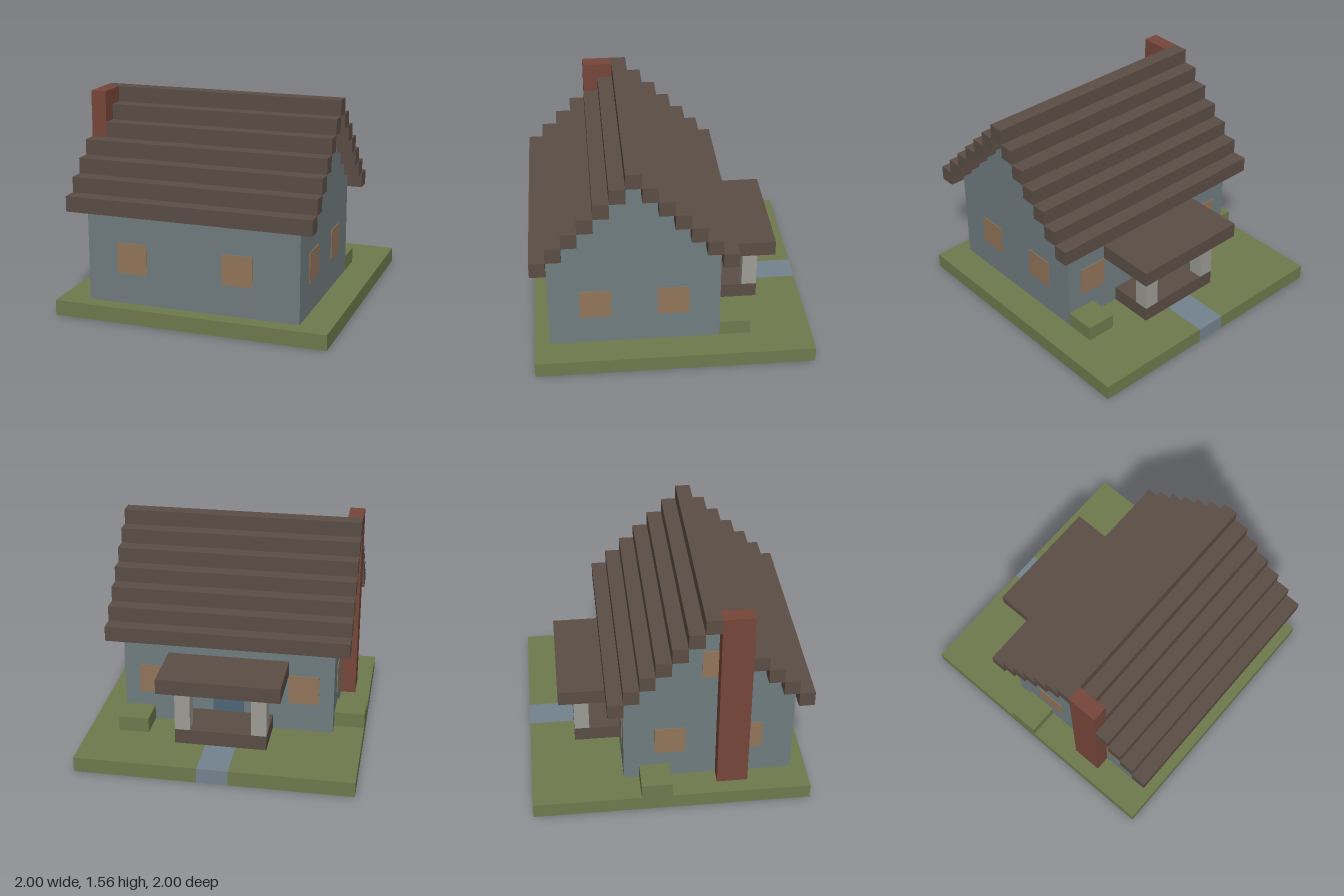
import * as THREE from 'three';

const U = 1 / 9; // one block

const mat = (name, color) => {
  const m = new THREE.MeshStandardMaterial({ color });
  m.name = name;
  return m;
};

export function createModel() {
  const model = new THREE.Group();
  model.name = 'cottage';

  const grass = mat('grass', 0x6f7a4d);
  const wall = mat('wall', 0x707d80);
  const wood = mat('dark wood', 0x5b4e45);
  const brick = mat('brick', 0x77463a);
  const glass = mat('warm window', 0x92755a);
  const stone = mat('pale post', 0x9d9c95);
  const paving = mat('paving', 0x73838f);
  const doorBlue = mat('door', 0x4d6675);

  const add = (name, geometry, material, parent = model) => {
    const mesh = new THREE.Mesh(geometry, material);
    mesh.name = name;
    parent.add(mesh);
    return mesh;
  };
  // Box between block coordinates
  const box = (name, material, [x0, x1], [y0, y1], [z0, z1], parent) => {
    const g = new THREE.BoxGeometry((x1 - x0) * U, (y1 - y0) * U, (z1 - z0) * U);
    g.translate(((x0 + x1) / 2) * U, ((y0 + y1) / 2) * U, ((z0 + z1) / 2) * U);
    return add(name, g, material, parent);
  };
  const extrude = (points, depth) => {
    const shape = new THREE.Shape(points.map(([a, b]) => new THREE.Vector2(a * U, b * U)));
    return new THREE.ExtrudeGeometry(shape, { depth: depth * U, bevelEnabled: false });
  };

  // Lawn slab, cut out around the path, porch, house and chimney (x, -z)
  const lawn = extrude([
    [-9, -9], [9, -9], [9, 9], [1, 9], [1, 6], [3, 6], [3, 3], [7, 3], [7, -8],
    [-7, -8], [-7, -5], [-8, -5], [-8, -3], [-7, -3], [-7, 3], [-3, 3], [-3, 6],
    [-1, 6], [-1, 9], [-9, 9],
  ], 1);
  lawn.rotateX(-Math.PI / 2);
  add('lawn', lawn, grass);
  box('path', paving, [-1, 1], [0, 1], [-9, -6]);
  box('houseFloor', wood, [-7, 7], [0, 1], [-3, 8]);
  box('porchFloor', wood, [-3, 3], [0, 2], [-6, -3]);

  // House body with stepped gables: profile in (-z, y), run along x
  const front = [[-8, 1]];
  const back = [[3, 1]];
  for (let i = 0; i < 6; i++) {
    front.push([i - 8, 7 + i], [i - 8, 8 + i]);
    back.push([3 - i, 7 + i], [3 - i, 8 + i]);
  }
  // Drop the unstepped duplicates at the eaves
  front.splice(1, 1);
  back.splice(1, 1);
  const body = extrude([...back, ...front.reverse()], 14);
  body.rotateY(Math.PI / 2);
  body.translate(-7 * U, 0, 0);
  add('walls', body, wall);

  // Roof courses stepping up to the ridge
  const roof = new THREE.Group();
  roof.name = 'roof';
  model.add(roof);
  for (let i = 0; i < 6; i++) {
    const left = i >= 4 ? -7 : -8; // make room for the chimney
    box('frontCourse', wood, [left, 8], [7 + i, 8 + i], [8 - i, 9 - i], roof);
    box('backCourse', wood, [-8, 8], [7 + i, 8 + i], [i - 4, i - 3], roof);
  }
  box('ridge', wood, [-8, 8], [13, 14], [2, 3], roof);

  box('chimney', brick, [-8, -7], [0, 14], [3, 5]);

  // Windows as thin panes
  const T = 0.05;
  for (const x of [-5, 2]) box('frontWindow', glass, [x, x + 2], [3, 5], [8, 8 + T]);
  for (const x of [-6, 4]) box('backWindow', glass, [x, x + 2], [3, 5], [-3 - T, -3]);
  for (const z of [-1, 4]) {
    box('leftWindow', glass, [7, 7 + T], [3, 5], [z, z + 2]);
    box('rightWindow', glass, [-7 - T, -7], [3, 5], [z, z + 2]);
  }
  box('atticWindow', glass, [-7 - T, -7], [9, 11], [2, 3]);
  box('door', doorBlue, [-1, 1], [2, 5], [-3 - T, -3]);

  // Porch
  for (const x of [-3, 2]) box('porchPost', stone, [x, x + 1], [2, 5], [-6, -5]);
  box('porchRoof', wood, [-4, 4], [5, 6], [-7, -3]);

  // Bushes
  box('backBush', grass, [5, 7], [1, 2], [-5, -3]);
  box('sideBush', grass, [-9, -7], [1, 2], [-2, 0]);

  return model;
}
